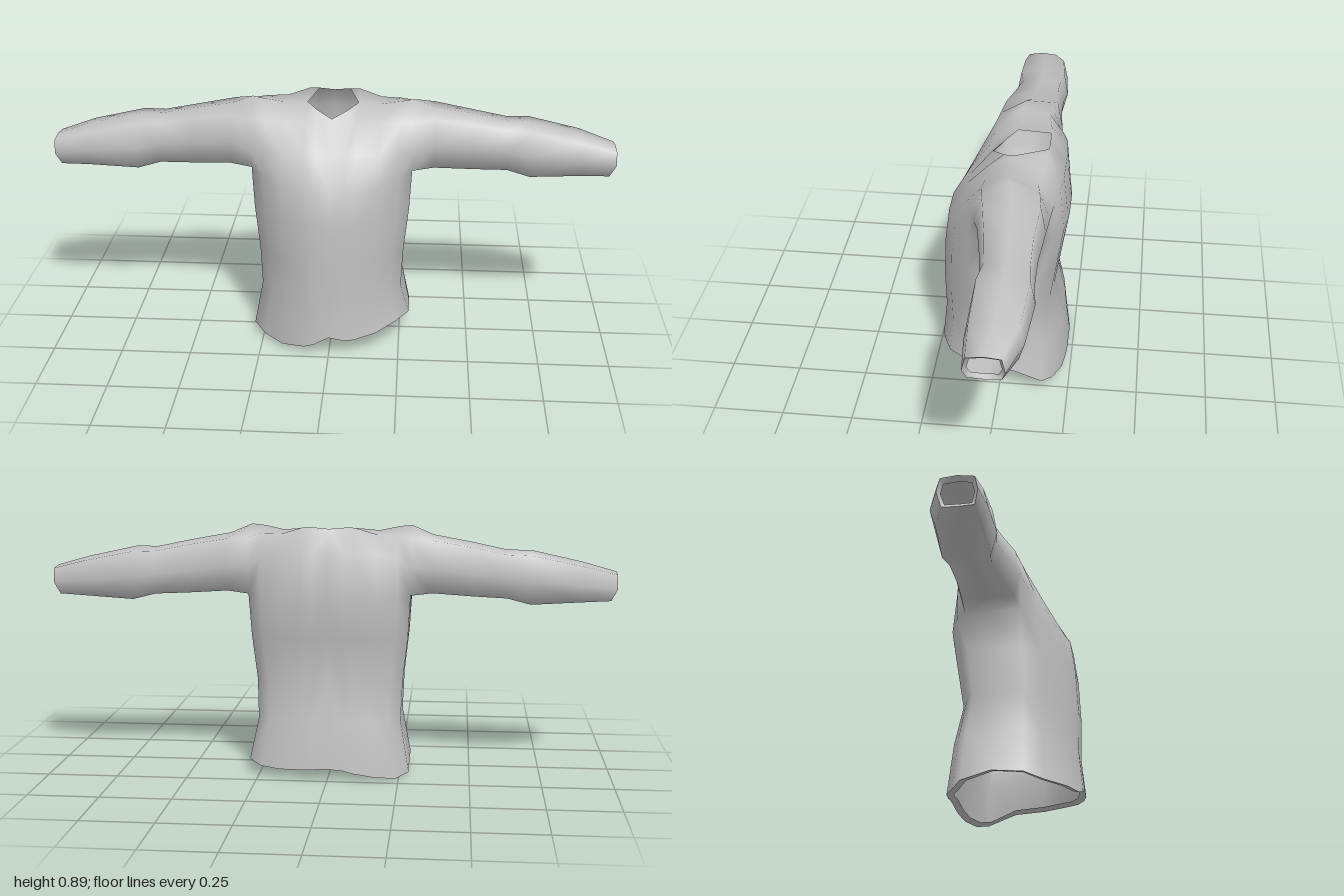
import * as THREE from 'three';
import { mergeVertices } from 'three/addons/utils/BufferGeometryUtils.js';

// One cross-section at distance x from the middle; points are [z, y],
// running from the lower front over the top to the lower back, then the underside.
const section = (x, pts) => pts.map(([z, y]) => [x, y, z]);

// Boxy sleeve cross-section with the same point order
function sleeve(x, top, bottom, front, back, slant = 0) {
  const d = front - back, h = top - bottom, mid = (front + back) / 2;
  const s = section(x, [
    [front - d * 0.1, bottom + h * 0.02], [front, bottom + h * 0.45], [front - d * 0.08, top - h * 0.08],
    [mid, top],
    [back + d * 0.08, top - h * 0.06], [back, bottom + h * 0.45], [back + d * 0.1, bottom + h * 0.02],
    [mid, bottom],
  ]);
  for (const i of [0, 6, 7]) s[i][0] -= slant;
  return s;
}

// Chest and shoulder sections; the first two meet the neck opening
const neckSide = [-0.03, 0.872];
const chest = [
  section(0, [[0.2, 0.62], [0.135, 0.73], [0.05, 0.836], neckSide, [-0.15, 0.88], [-0.207, 0.8], [-0.227, 0.63]]),
  section(0.055, [[0.2, 0.62], [0.135, 0.73], [0.005, 0.855], neckSide, [-0.15, 0.885], [-0.207, 0.8], [-0.227, 0.63]]),
  section(0.09, [[0.19, 0.62], [0.13, 0.73], [0.055, 0.828], neckSide, [-0.15, 0.885], [-0.207, 0.8], [-0.225, 0.63]]),
  section(0.17, [[0.165, 0.625], [0.12, 0.73], [0.055, 0.825], [-0.04, 0.866], [-0.14, 0.86], [-0.2, 0.795], [-0.215, 0.635]]),
  section(0.24, [[0.105, 0.64], [0.095, 0.73], [0.06, 0.83], [-0.03, 0.88], [-0.13, 0.86], [-0.185, 0.78], [-0.185, 0.645]]),
  section(0.285, [[0.05, 0.65], [0.08, 0.72], [0.055, 0.83], [-0.04, 0.886], [-0.14, 0.85], [-0.175, 0.75], [-0.15, 0.65], [-0.05, 0.645]]),
];
chest[0][3] = chest[1][3] = chest[2][3];

const arm = [
  chest[5],
  sleeve(0.36, 0.855, 0.655, 0.06, -0.168),
  sleeve(0.5, 0.83, 0.645, 0.035, -0.155),
  sleeve(0.62, 0.805, 0.64, 0.02, -0.155),
  sleeve(0.7, 0.805, 0.62, 0.035, -0.165),
  sleeve(0.88, 0.765, 0.63, 0.035, -0.15),
  sleeve(1, 0.73, 0.63, 0.025, -0.105, 0.02),
];
const cuffInner = sleeve(0.985, 0.715, 0.645, 0.012, -0.094, 0.015);

// Triangle collector
const quad = (out, a, b, c, d) => out.push(...a, ...b, ...c, ...a, ...c, ...d);
const mirror = (tris) => {
  const out = [];
  for (let i = 0; i < tris.length; i += 9)
    for (const k of [0, 6, 3]) out.push(-tris[i + k], tris[i + k + 1], tris[i + k + 2]);
  return out;
};
function loft(sections, closed, skip = () => false) {
  const out = [];
  for (let s = 0; s < sections.length - 1; s++) {
    const a = sections[s], b = sections[s + 1], n = closed ? a.length : 6;
    for (let i = 0; i < n; i++) {
      const j = (i + 1) % a.length;
      if (!skip(s, i)) quad(out, a[i], b[i], b[j], a[j]);
    }
  }
  return out;
}

// Torso: rings hang from the lower edge of the chest, one half at a time
const rim = [...chest.map((s) => s[0]), chest[5][7], ...chest.map((s) => s[6]).reverse()];
const levels = [ // height, width, front depth, back depth
  [0.5, 0.97, 1.08, 0.91], [0.34, 0.91, 1.12, 0.8], [0.2, 0.89, 1.1, 0.95], [null, 1, 1.17, 1.035],
];
const hemLeft = [0.07, 0.06, 0.058, 0.075, 0.09, 0.097, 0.09, 0.05, 0.035, 0.033, 0.035, 0.037, 0.04];
const hemRight = [0.07, 0.04, 0.025, 0.018, 0.02, 0.035, 0.045, 0.015, 0, 0.01, 0.025, 0.035, 0.04];
function torsoHalf(hem) {
  const rows = [rim, ...levels.map(([y, w, f, b]) =>
    rim.map(([x, , z], i) => [x * w, y ?? hem[i], z * (z > 0 ? f : b)]))];
  const inner = rows[4].map(([x, y, z]) => [x * 0.9, y + 0.008, z * 0.9]);
  const band = (up, low) => {
    const out = [];
    for (let i = 0; i < up.length - 1; i++) quad(out, low[i], low[i + 1], up[i + 1], up[i]);
    return out;
  };
  const body = [];
  for (let r = 0; r < 4; r++) body.push(...band(rows[r], rows[r + 1]));
  return { body, fold: band(rows[4], inner) };
}

function smooth(tris) {
  const g = new THREE.BufferGeometry();
  g.setAttribute('position', new THREE.Float32BufferAttribute(tris, 3));
  const merged = mergeVertices(g, 1e-4);
  merged.computeVertexNormals();
  return merged;
}

export function createModel() {
  const group = new THREE.Group();
  const greyKnit = new THREE.MeshStandardMaterial({ color: 0xc0c0c0, side: THREE.DoubleSide });
  greyKnit.name = 'greyKnit';
  const add = (name, geometry) => {
    const m = new THREE.Mesh(geometry, greyKnit);
    m.name = name;
    group.add(m);
  };

  const left = torsoHalf(hemLeft), right = torsoHalf(hemRight);
  const yoke = loft(chest, false, (s, i) => s < 2 && (i === 3 || i === 2) && s === 0);
  const sleeveTris = loft(arm, true);
  const parts = {
    torso: [...left.body, ...mirror(right.body)],
    shoulders: [...yoke, ...mirror(yoke)],
    leftSleeve: sleeveTris,
    rightSleeve: mirror(sleeveTris),
  };

  // Smooth the garment as one skin, then split it into its parts
  const skin = smooth(Object.values(parts).flat());
  const index = Array.from(skin.index.array);
  let start = 0;
  for (const [name, tris] of Object.entries(parts)) {
    const g = new THREE.BufferGeometry();
    g.setAttribute('position', skin.attributes.position);
    g.setAttribute('normal', skin.attributes.normal);
    g.setIndex(index.slice(start, start + tris.length / 3));
    start += tris.length / 3;
    add(name, g);
  }

  // Turned-in edges
  const cuff = loft([arm[6], cuffInner], true);
  add('hemFold', smooth([...left.fold, ...mirror(right.fold)]));
  add('leftCuffFold', smooth(cuff));
  add('rightCuffFold', smooth(mirror(cuff)));
  return group;
}
